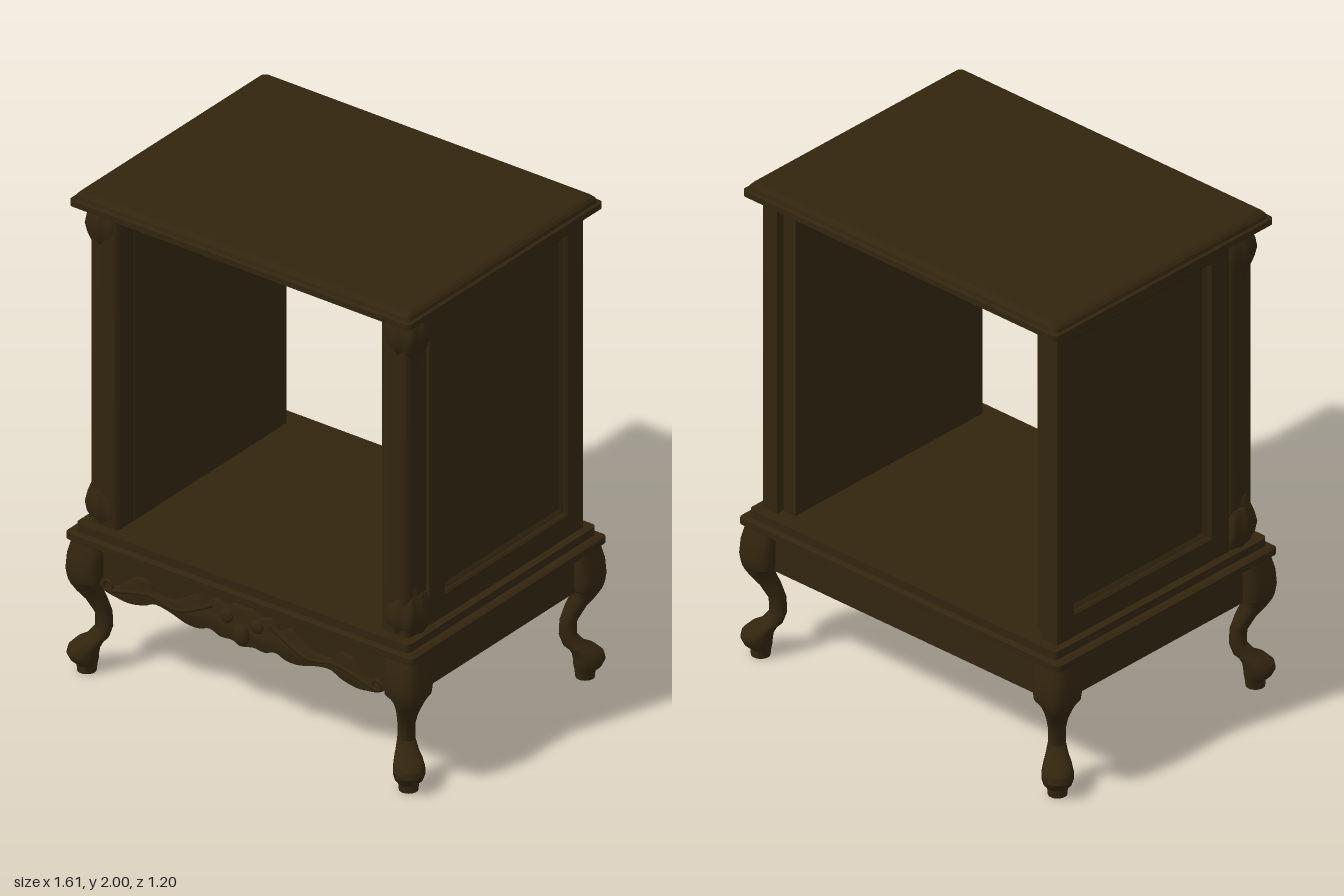
import * as THREE from 'three';
import { toCreasedNormals } from 'three/addons/utils/BufferGeometryUtils.js';

const wood = new THREE.MeshStandardMaterial({ color: 0x32250f });
wood.name = 'dark walnut';

// Skin a stack of closed rings (each anticlockwise from above), with flat caps
function loft(rings, crease = 0.6, bottom = true) {
  const n = rings[0].length, pos = rings.flat(2), idx = [];
  for (let i = 0; i < rings.length - 1; i++) {
    for (let j = 0; j < n; j++) {
      const a = i * n + j, b = i * n + (j + 1) % n;
      idx.push(a, b, b + n, a, b + n, a + n);
    }
  }
  const t = (rings.length - 1) * n;
  for (let j = 1; j < n - 1; j++) {
    idx.push(t, t + j, t + j + 1);
    if (bottom) idx.push(0, j + 1, j);
  }
  const g = new THREE.BufferGeometry();
  g.setAttribute('position', new THREE.Float32BufferAttribute(pos, 3));
  g.setIndex(idx);
  return toCreasedNormals(g, crease);
}

// Rectangle ring with rounded corners
function rectRing(y, cx, cz, hx, hz, r = 0.02, seg = 4) {
  const pts = [];
  for (let c = 0; c < 4; c++) {
    const sx = c === 0 || c === 3 ? 1 : -1, sz = c < 2 ? -1 : 1;
    for (let k = 0; k <= seg; k++) {
      const a = (c + k / seg) * Math.PI / 2;
      pts.push([cx + sx * (hx - r) + r * Math.cos(a), y, cz + sz * (hz - r) - r * Math.sin(a)]);
    }
  }
  return pts;
}

// Superellipse ring: power 2 is round, larger is squarer; lobes carve ripples
function ovalRing(y, cx, cz, r, power, ripple = 0, seg = 48) {
  const pts = [];
  for (let k = 0; k < seg; k++) {
    const a = k / seg * Math.PI * 2, c = Math.cos(a), s = Math.sin(a);
    const f = r * (1 + ripple * (Math.cos(8 * a) - 1)) /
      Math.pow(Math.abs(c) ** power + Math.abs(s) ** power, 1 / power);
    pts.push([cx + f * c, y, cz - f * s]);
  }
  return pts;
}

export function createModel() {
  const model = new THREE.Group();
  model.name = 'cabinet';
  const add = (name, geo, parent = model) => {
    const m = new THREE.Mesh(geo, wood);
    m.name = name;
    parent.add(m);
    return m;
  };
  const box = (name, x0, x1, y0, y1, z0, z1, parent) =>
    add(name, new THREE.BoxGeometry(Math.abs(x1 - x0), y1 - y0, z1 - z0)
      .translate((x0 + x1) / 2, (y0 + y1) / 2, (z0 + z1) / 2), parent);

  // Moulded top and floor: [y, half width, half depth]
  const slab = (name, rows) =>
    add(name, loft(rows.map(([y, x, z]) => rectRing(y, 0, 0, x, z)), 0.4));
  slab('top', [[1.938, 0.765, 0.565], [1.945, 0.78, 0.585], [1.968, 0.78, 0.585],
    [1.972, 0.768, 0.573], [1.985, 0.764, 0.569], [1.995, 0.755, 0.56], [1.996, 0.75, 0.555],
    [2, 0.744, 0.549]]);
  slab('floorMoulding', [[0.55, 0.79, 0.582], [0.555, 0.795, 0.588], [0.58, 0.795, 0.588],
    [0.586, 0.785, 0.578], [0.587, 0.762, 0.567], [0.62, 0.762, 0.567]]);
  box('ceiling', -0.62, 0.62, 1.9, 1.94, -0.5, 0.515);

  // Leaf carvings as [distance from end, outer x, inner x]
  const leafRows = [[0, 0.742, 0.6], [0.04, 0.76, 0.6], [0.08, 0.766, 0.602], [0.12, 0.757, 0.61],
    [0.155, 0.744, 0.622], [0.16, 0.738, 0.642], [0.2, 0.735, 0.66], [0.205, 0.731, 0.672],
    [0.24, 0.73, 0.684], [0.265, 0.722, 0.702]];
  const leaf = (sx, y, dir) => {
    const rings = leafRows.map(([d, o, i]) =>
      ovalRing(y + dir * d, sx * (o + i) / 2, (o + i) / 2 - 0.218, (o - i) / 2, 2.6, 0.05));
    return loft(dir > 0 ? rings : rings.reverse(), 0.7);
  };

  // Side walls, framed panels and front corner posts
  for (const s of [1, -1]) {
    const side = new THREE.Group();
    side.name = s > 0 ? 'leftSide' : 'rightSide';
    model.add(side);
    box('lining', s * 0.6, s * 0.665, 0.62, 1.94, -0.49, 0.42, side);
    box('frontStile', s * 0.66, s * 0.73, 0.62, 1.94, 0.305, 0.396, side);
    box('backStile', s * 0.66, s * 0.73, 0.62, 1.94, -0.525, -0.435, side);
    box('bottomRail', s * 0.66, s * 0.73, 0.62, 0.71, -0.435, 0.305, side);
    box('topRail', s * 0.66, s * 0.73, 1.88, 1.94, -0.435, 0.305, side);
    const panel = [[0.73, 0.585, 0.37], [0.722, 0.577, 0.362], [0.716, 0.575, 0.36],
      [0.704, 0.558, 0.343], [0.704, 0.555, 0.34]].map(([x, h, d]) =>
      rectRing(x, -s * 1.295, -0.065, h, d, 0.001, 1));
    add('panel', loft(panel, 0.3, false).rotateZ(-s * Math.PI / 2), side);
    add('cornerPost', loft([0.62, 1.94].map(y =>
      rectRing(y, s * 0.665, 0.4635, 0.065, 0.0635, 0.025)), 0.5), side);
    add('lowerLeaf', leaf(s, 0.62, 1), side);
    add('upperLeaf', leaf(s, 1.94, -1), side);
    box('sideApron', s * 0.71, s * 0.752, 0.39, 0.555, -0.47, 0.47, side);
  }
  box('backApron', -0.68, 0.68, 0.39, 0.555, -0.545, -0.505);

  // Cabriole legs: [y, outer x, inner x, squareness]
  const legRows = [[0, 0.772, 0.7, 2], [0.03, 0.774, 0.697, 2], [0.05, 0.795, 0.69, 2],
    [0.075, 0.806, 0.687, 2], [0.1, 0.802, 0.684, 2], [0.125, 0.78, 0.676, 2],
    [0.14, 0.752, 0.665, 2], [0.18, 0.724, 0.658, 2], [0.24, 0.725, 0.66, 2],
    [0.3, 0.751, 0.673, 2.2], [0.34, 0.777, 0.685, 2.4], [0.37, 0.793, 0.684, 2.6],
    [0.385, 0.799, 0.672, 2.8], [0.395, 0.803, 0.65, 3], [0.43, 0.807, 0.648, 3.2],
    [0.49, 0.802, 0.648, 3.4], [0.555, 0.785, 0.648, 4]];
  for (const sx of [1, -1]) for (const sz of [1, -1]) {
    add('leg', loft(legRows.map(([y, o, i, p]) =>
      ovalRing(y, sx * (o + i) / 2, sz * ((o + i) / 2 - 0.206), (o - i) / 2, p))));
  }

  // Scalloped front apron with a raised carved band
  const lower = [[0, 0.358], [0.05, 0.37], [0.1, 0.366], [0.15, 0.382], [0.2, 0.366], [0.26, 0.367],
    [0.33, 0.388], [0.4, 0.398], [0.45, 0.376], [0.52, 0.362], [0.58, 0.368], [0.62, 0.376], [0.66, 0.4]];
  const upper = [[0.64, 0.43], [0.6, 0.405], [0.55, 0.43], [0.5, 0.475], [0.44, 0.48], [0.4, 0.44],
    [0.32, 0.44], [0.25, 0.48], [0.21, 0.5], [0.17, 0.475], [0.13, 0.515], [0.08, 0.5], [0.04, 0.522], [0, 0.515]];
  const mirror = pts => pts.slice(1).reverse().map(([x, y]) => [-x, y]);
  const v2 = pts => pts.map(p => new THREE.Vector2(...p));
  const smooth = pts => new THREE.SplineCurve(v2(pts)).getPoints(80);
  const bottomEdge = smooth([...mirror(lower), ...lower]);
  const upperR = [...upper].reverse();
  const topEdge = smooth([...mirror(upperR), ...upperR]).reverse();
  const extrude = (pts, depth, z, bevel) => toCreasedNormals(
    new THREE.ExtrudeGeometry(new THREE.Shape(pts), {
      depth, bevelEnabled: bevel > 0, bevelSize: bevel, bevelThickness: bevel, bevelOffset: -bevel, bevelSegments: 2,
    }).translate(0, 0, z), 0.6);
  add('frontApron', extrude([...bottomEdge, ...v2([[0.66, 0.555], [-0.66, 0.555]])], 0.04, 0.505, 0));
  add('carvedBand', extrude([...bottomEdge, ...topEdge], 0.018, 0.542, 0.004));

  // Scrolls and centre shell on the apron
  for (const s of [1, -1]) {
    add('scrollEye', new THREE.SphereGeometry(0.028, 20, 12).scale(1, 1, 0.5).translate(s * 0.07, 0.465, 0.565));
    add('scrollEnd', new THREE.TorusGeometry(0.02, 0.008, 8, 20).translate(s * 0.615, 0.405, 0.562));
    const vine = new THREE.CatmullRomCurve3([[0.13, 0.49], [0.2, 0.45], [0.3, 0.41], [0.42, 0.43], [0.5, 0.415], [0.6, 0.39]]
      .map(([x, y]) => new THREE.Vector3(s * x, y, 0.562)));
    add('vine', new THREE.TubeGeometry(vine, 40, 0.009, 8));
  }
  add('shell', new THREE.SphereGeometry(0.035, 20, 14).scale(1, 1.3, 0.7).translate(0, 0.41, 0.568));
  return model;
}
